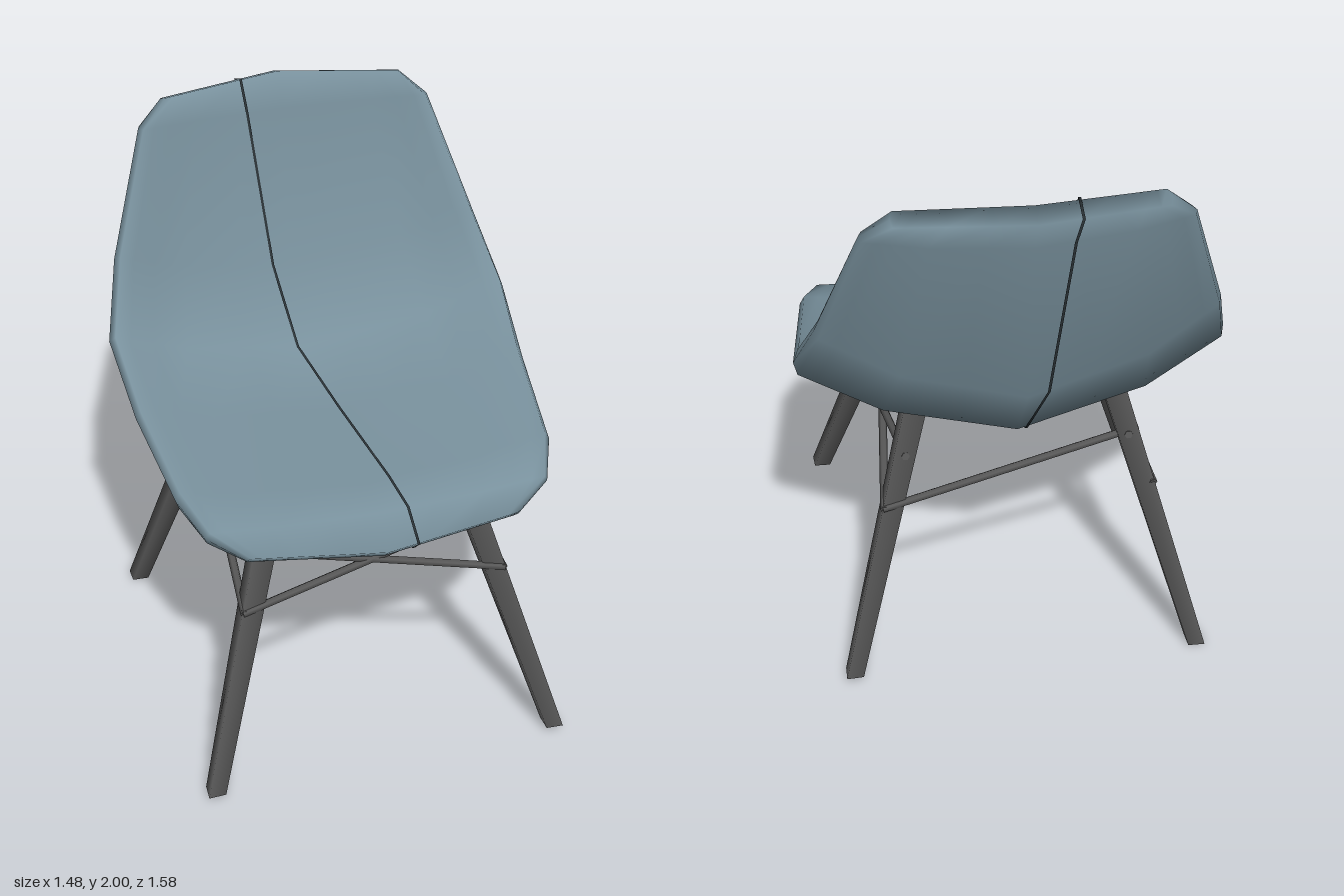
import * as THREE from 'three';

const seatBlue = new THREE.MeshStandardMaterial({ color: 0x78909c });
seatBlue.name = 'blue grey shell';
const legGrey = new THREE.MeshStandardMaterial({ color: 0x585858 });
legGrey.name = 'dark grey legs';
const seamDark = new THREE.MeshStandardMaterial({ color: 0x2a3236, side: THREE.DoubleSide });
seamDark.name = 'dark seam';

// Shell cross-sections from front lip to top edge:
// inner and outer centre [z, y], rim [half width, z, y], seam x
const rows = [
  { inn: [0.67, 0.85], out: [0.62, 0.80], rim: [0.48, 0.64, 0.90], seam: 0.105 },
  { inn: [0.585, 0.955], out: [0.55, 0.885], rim: [0.605, 0.57, 0.98], seam: 0.092 },
  { inn: [0.42, 0.97], out: [0.42, 0.90], rim: [0.668, 0.40, 1.04], seam: 0.075 },
  { inn: [0, 1.0], out: [0, 0.935], rim: [0.715, 0, 1.12], seam: 0.02 },
  { inn: [-0.38, 1.04], out: [-0.45, 0.97], rim: [0.74, -0.28, 1.26], seam: -0.03 },
  { inn: [-0.58, 1.28], out: [-0.65, 1.24], rim: [0.675, -0.45, 1.48], seam: -0.07 },
  { inn: [-0.68, 1.87], out: [-0.74, 1.86], rim: [0.535, -0.605, 1.89], seam: -0.13 },
  { inn: [-0.72, 2.0], out: [-0.79, 1.97], rim: [0.44, -0.65, 1.98], seam: -0.145 },
];
const last = rows.length - 1;

// Point on the inner or outer face; u runs from -1 to 1 across the shell
function shellPoint(i, u, outer) {
  const { inn, out, rim } = rows[i];
  const a = Math.abs(u);
  // Straight across the ends, steeper towards the rim elsewhere
  const f = i === 0 || i === last ? a : 0.68 * a + 0.32 * Math.max(0, (a - 0.62) / 0.38);
  const c = outer ? out : inn;
  const k = outer ? 0.85 : 0;
  const ez = rim[1] + k * (out[0] - inn[0]);
  const ey = rim[2] + k * (out[1] - inn[1]);
  const x = u * rim[0] * (outer ? 0.985 : 1 - 0.025 * a);
  return [x, c[1] + (ey - c[1]) * f, c[0] + (ez - c[0]) * f];
}

// Closed shell with a rounded rim
function makeShell() {
  const us = [-1, -0.92, -0.8, -0.62, -0.3, 0, 0.3, 0.62, 0.8, 0.92, 1];
  const n = us.length;
  const ring = 2 * n + 2;
  const pos = [], idx = [];
  const edge = (i, s) => {
    const a = shellPoint(i, s, false), b = shellPoint(i, s, true);
    return [s * rows[i].rim[0], (a[1] + b[1]) / 2, (a[2] + b[2]) / 2];
  };
  rows.forEach((r, i) => {
    us.forEach(u => pos.push(...shellPoint(i, u, false)));
    pos.push(...edge(i, 1));
    [...us].reverse().forEach(u => pos.push(...shellPoint(i, u, true)));
    pos.push(...edge(i, -1));
  });
  const quad = (a, b, c, d) => idx.push(a, b, c, a, c, d);
  for (let i = 0; i < last; i++) {
    for (let j = 0; j < ring; j++) {
      const k = (j + 1) % ring;
      quad(i * ring + j, i * ring + k, (i + 1) * ring + k, (i + 1) * ring + j);
    }
  }
  // Close the front lip and the top edge
  const under = j => 2 * n - j;
  const t = last * ring;
  for (let j = 0; j < n - 1; j++) {
    quad(under(j), under(j + 1), j + 1, j);
    quad(t + j, t + j + 1, t + under(j + 1), t + under(j));
  }
  for (const [a, b, c] of [[n - 1, under(n - 1), n], [0, ring - 1, under(0)]]) {
    idx.push(a, b, c, t + a, t + c, t + b);
  }
  const g = new THREE.BufferGeometry();
  g.setAttribute('position', new THREE.Float32BufferAttribute(pos, 3));
  g.setIndex(idx);
  g.computeVertexNormals();
  return g;
}

// Thin ribbon wrapped around the shell
function makeSeam() {
  const path = [];
  const add = (i, outer) => {
    const { inn, out, rim, seam } = rows[i];
    const p = shellPoint(i, seam / rim[0], outer);
    const d = new THREE.Vector2(inn[0] - out[0], inn[1] - out[1]).setLength(outer ? -0.006 : 0.006);
    path.push([seam, p[1] + d.y + (i === last ? 0.004 : 0), p[2] + d.x + (i === 0 ? 0.005 : 0)]);
  };
  for (let i = 0; i <= last; i++) add(i, false);
  for (let i = last; i >= 0; i--) add(i, true);
  const pos = [], idx = [], n = path.length;
  path.forEach(([x, y, z], i) => {
    pos.push(x - 0.0046, y, z, x + 0.0046, y, z);
    const a = 2 * i, b = 2 * ((i + 1) % n);
    idx.push(a, a + 1, b + 1, a, b + 1, b);
  });
  const g = new THREE.BufferGeometry();
  g.setAttribute('position', new THREE.Float32BufferAttribute(pos, 3));
  g.setIndex(idx);
  g.computeVertexNormals();
  return g;
}

// Straight bar between two points, its vertices placed in model space
function bar(name, from, to, r0, r1, sides) {
  const dir = to.clone().sub(from);
  const g = new THREE.CylinderGeometry(r1, r0, dir.length(), sides, 1, false, Math.PI / sides);
  const turn = new THREE.Quaternion().setFromUnitVectors(new THREE.Vector3(0, 1, 0), dir.normalize());
  const mid = from.clone().add(to).multiplyScalar(0.5);
  g.applyQuaternion(turn).translate(mid.x, mid.y, mid.z);
  const mesh = new THREE.Mesh(g, legGrey);
  mesh.name = name;
  return mesh;
}

// Square tapered leg with its foot cut level with the floor
function makeLeg({ name, foot, top }) {
  const leg = bar(name, foot, top, 0.041, 0.056, 4);
  const dir = top.clone().sub(foot);
  const p = leg.geometry.attributes.position;
  const v = new THREE.Vector3();
  for (let i = 0; i < p.count; i++) {
    v.fromBufferAttribute(p, i);
    if (v.y > 0.5) continue;
    v.addScaledVector(dir, (foot.y - v.y) / dir.y);
    p.setXYZ(i, v.x, v.y, v.z);
  }
  return leg;
}

export function createModel() {
  const model = new THREE.Group();
  model.name = 'chair';

  const shell = new THREE.Mesh(makeShell(), seatBlue);
  shell.name = 'seatShell';
  const seam = new THREE.Mesh(makeSeam(), seamDark);
  seam.name = 'seam';
  model.add(shell, seam);

  // Splayed legs
  const V = (x, y, z) => new THREE.Vector3(x, y, z);
  const frontLeft = { name: 'frontLeftLeg', foot: V(0.60, 0.02, 0.755), top: V(0.33, 0.92, 0.47) };
  const frontRight = { name: 'frontRightLeg', foot: V(-0.645, 0.015, 0.76), top: V(-0.37, 0.92, 0.47) };
  const backRight = { name: 'backRightLeg', foot: V(-0.65, 0, -0.53), top: V(-0.37, 0.985, -0.26) };
  const backLeft = { name: 'backLeftLeg', foot: V(0.60, 0.02, -0.53), top: V(0.33, 0.985, -0.26) };
  for (const l of [frontLeft, frontRight, backRight, backLeft]) model.add(makeLeg(l));

  // Braces from low on one leg to high on the next: crossed pairs, a single one at the back
  const at = (l, y) => l.foot.clone().lerp(l.top, (y - l.foot.y) / (l.top.y - l.foot.y));
  const braces = new THREE.Group();
  braces.name = 'braces';
  for (const [p, q, outward] of [
    [frontLeft, frontRight, V(0, 0, 1)], [frontRight, frontLeft, V(0, 0, 1)],
    [frontRight, backRight, V(-1, 0, 0)], [backRight, frontRight, V(-1, 0, 0)],
    [frontLeft, backLeft, V(1, 0, 0)], [backLeft, frontLeft, V(1, 0, 0)],
    [backLeft, backRight, V(0, 0, -1)],
  ]) {
    const low = at(p, 0.645).addScaledVector(outward, 0.03);
    const high = at(q, 0.815);
    const ext = high.clone().sub(low).setLength(0.04);
    braces.add(bar('brace', low.sub(ext), high.add(ext), 0.015, 0.015, 6));
  }
  model.add(braces);
  return model;
}
